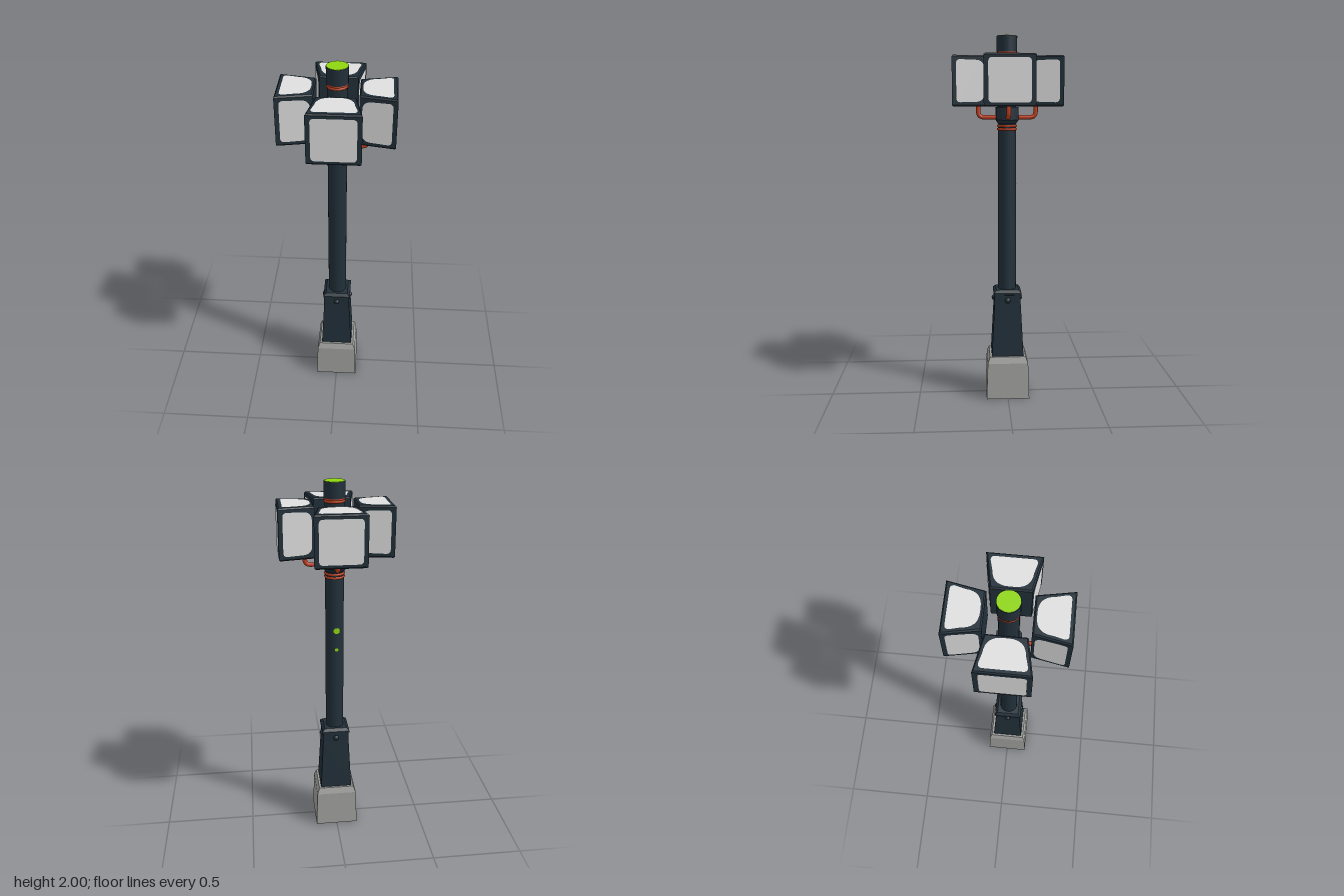
import * as THREE from 'three';

const mat = (name, color) => {
  const m = new THREE.MeshStandardMaterial({ color });
  m.name = name;
  return m;
};

export function createModel() {
  const iron = mat('dark iron', 0x22303a);
  const glass = mat('white glass', 0xe0dfdf);
  const stone = mat('concrete', 0xa2a3a0);
  const copper = mat('orange pipe', 0xc23f1e);
  const lime = mat('lime green', 0x8fd60f);

  const root = new THREE.Group();
  root.name = 'streetLamp';
  const add = (parent, name, geometry, material) => {
    const mesh = new THREE.Mesh(geometry, material);
    mesh.name = name;
    parent.add(mesh);
    return mesh;
  };

  // Faceted solid of square section from [half width, height] pairs
  const squareSolid = (profile) => {
    const pts = profile.map(([w, y]) => new THREE.Vector2(w * Math.SQRT2, y));
    const g = new THREE.LatheGeometry(pts, 4, Math.PI / 4).toNonIndexed();
    g.computeVertexNormals();
    return g;
  };
  const drum = (r0, r1, y0, y1, sides = 24) =>
    new THREE.CylinderGeometry(r1, r0, y1 - y0, sides).translate(0, (y0 + y1) / 2, 0);

  // Panel outline: v runs from the inner to the outer end, corners rounded
  const panelShape = (w0, w1, v0, v1, r0, r1) => {
    const s = new THREE.Shape();
    s.moveTo(-w0 + r0, v0);
    s.lineTo(w0 - r0, v0);
    s.quadraticCurveTo(w0, v0, w0 + (w1 - w0) * 0.3, v0 + r0);
    s.lineTo(w1, v1 - r1);
    s.quadraticCurveTo(w1, v1, w1 - r1, v1);
    s.lineTo(-w1 + r1, v1);
    s.quadraticCurveTo(-w1, v1, -w1, v1 - r1);
    s.lineTo(-w0 - (w1 - w0) * 0.3, v0 + r0);
    s.quadraticCurveTo(-w0, v0, -w0 + r0, v0);
    return s;
  };
  // Lay a panel on a plane with normal n, its v axis along the given direction
  const panelOn = (shape, n, v, origin) => {
    const u = new THREE.Vector3().crossVectors(v, n);
    const m = new THREE.Matrix4().makeBasis(u, v, n);
    m.setPosition(origin.clone().addScaledVector(n, 0.002));
    return new THREE.ShapeGeometry(shape, 8).applyMatrix4(m);
  };
  const V = (x, y, z) => new THREE.Vector3(x, y, z);

  // Concrete foot and tapered pedestal
  add(root, 'foot', squareSolid([[0, 0], [0.12, 0], [0.113, 0.205], [0.1, 0.24], [0, 0.24]]), stone);
  add(root, 'pedestal', squareSolid([
    [0, 0.235], [0.089, 0.235], [0.073, 0.54], [0.073, 0.59], [0.077, 0.592],
    [0.077, 0.602], [0.062, 0.617], [0, 0.617],
  ]), iron);
  for (let i = 0; i < 4; i++) {
    const bolt = add(root, 'pedestalBolt', new THREE.SphereGeometry(0.016, 12, 8), iron);
    const a = i * Math.PI / 2;
    bolt.position.set(Math.sin(a) * 0.071, 0.56, Math.cos(a) * 0.071);
  }

  // Pole, collar and capped top
  add(root, 'pole', drum(0.05, 0.05, 0.61, 1.92), iron);
  add(root, 'collarTaper', drum(0.052, 0.066, 1.535, 1.555, 8).rotateY(Math.PI / 8), iron);
  add(root, 'collar', drum(0.066, 0.066, 1.555, 1.625, 8).rotateY(Math.PI / 8), iron);
  add(root, 'topCylinder', drum(0.055, 0.055, 1.915, 1.998), iron);
  add(root, 'topLight', drum(0.053, 0.053, 1.995, 2.0), lime);
  for (const y of [1.506, 1.524, 1.9, 1.912]) {
    const ring = add(root, 'poleRing', new THREE.TorusGeometry(0.048, 0.007, 8, 24), copper);
    ring.rotation.x = Math.PI / 2;
    ring.position.y = y;
  }

  // Green splashes wrapped on the back of the pole
  for (const [x, y, r] of [[-0.006, 1.21, 0.018], [-0.006, 1.1, 0.01]]) {
    const g = new THREE.CircleGeometry(r, 9).rotateY(Math.PI);
    const p = g.attributes.position;
    for (let i = 0; i < p.count; i++) {
      const a = (p.getX(i) + x) / 0.05;
      p.setXYZ(i, Math.sin(a) * 0.052, p.getY(i) + y, -Math.cos(a) * 0.052);
    }
    g.computeVertexNormals();
    add(root, 'paintSplash', g, lime);
  }

  // Lamp housing: a wedge narrowing towards the pole
  const zIn = 0.11, zOut = 0.293, wIn = 0.097, wOut = 0.132, midY = 1.76, b = 0.007;
  const plan = new THREE.Shape([[-wIn, zIn], [wIn, zIn], [wOut, zOut], [-wOut, zOut]]
    .map(([x, z]) => new THREE.Vector2(x, z)));
  const housing = new THREE.ExtrudeGeometry(plan, {
    depth: 0.264 - 2 * b, bevelThickness: b, bevelSize: b, bevelOffset: -b, bevelSegments: 1,
  }).rotateX(Math.PI / 2).translate(0, midY + 0.132 - b, 0);

  const run = V(wOut - wIn, 0, zOut - zIn).normalize();
  const lidShape = panelShape(0.088, 0.107, 0.125, 0.272, 0.075, 0.02);
  const sideShape = panelShape(0.107, 0.11, 0.015, 0.164, 0.045, 0.022);
  const frontShape = panelShape(0.109, 0.109, -0.111, 0.111, 0.022, 0.022);
  const panels = [
    ['frontPanel', panelOn(frontShape, V(0, 0, 1), V(0, 1, 0), V(0, midY, zOut))],
    ['topPanel', panelOn(lidShape, V(0, 1, 0), V(0, 0, 1), V(0, midY + 0.132, 0))],
    ['bottomPanel', panelOn(lidShape, V(0, -1, 0), V(0, 0, 1), V(0, midY - 0.132, 0))],
  ];
  for (const s of [1, -1]) {
    panels.push(['sidePanel', panelOn(sideShape, V(s * run.z, 0, -run.x),
      V(s * run.x, 0, run.z), V(s * wIn, midY, zIn))]);
  }

  // Curved pipe from the collar up into the housing
  const path = new THREE.CurvePath();
  path.add(new THREE.LineCurve3(V(0, 1.57, 0.05), V(0, 1.57, 0.125)));
  path.add(new THREE.QuadraticBezierCurve3(V(0, 1.57, 0.125), V(0, 1.57, 0.156), V(0, 1.603, 0.156)));
  path.add(new THREE.LineCurve3(V(0, 1.603, 0.156), V(0, 1.64, 0.156)));
  const pipe = new THREE.TubeGeometry(path, 24, 0.012, 10);

  for (let i = 0; i < 4; i++) {
    const lamp = new THREE.Group();
    lamp.name = 'lamp';
    lamp.rotation.y = i * Math.PI / 2;
    add(lamp, 'lampHousing', housing, iron);
    for (const [name, g] of panels) add(lamp, name, g, glass);
    add(lamp, 'lampPipe', pipe, copper);
    root.add(lamp);
  }
  return root;
}
